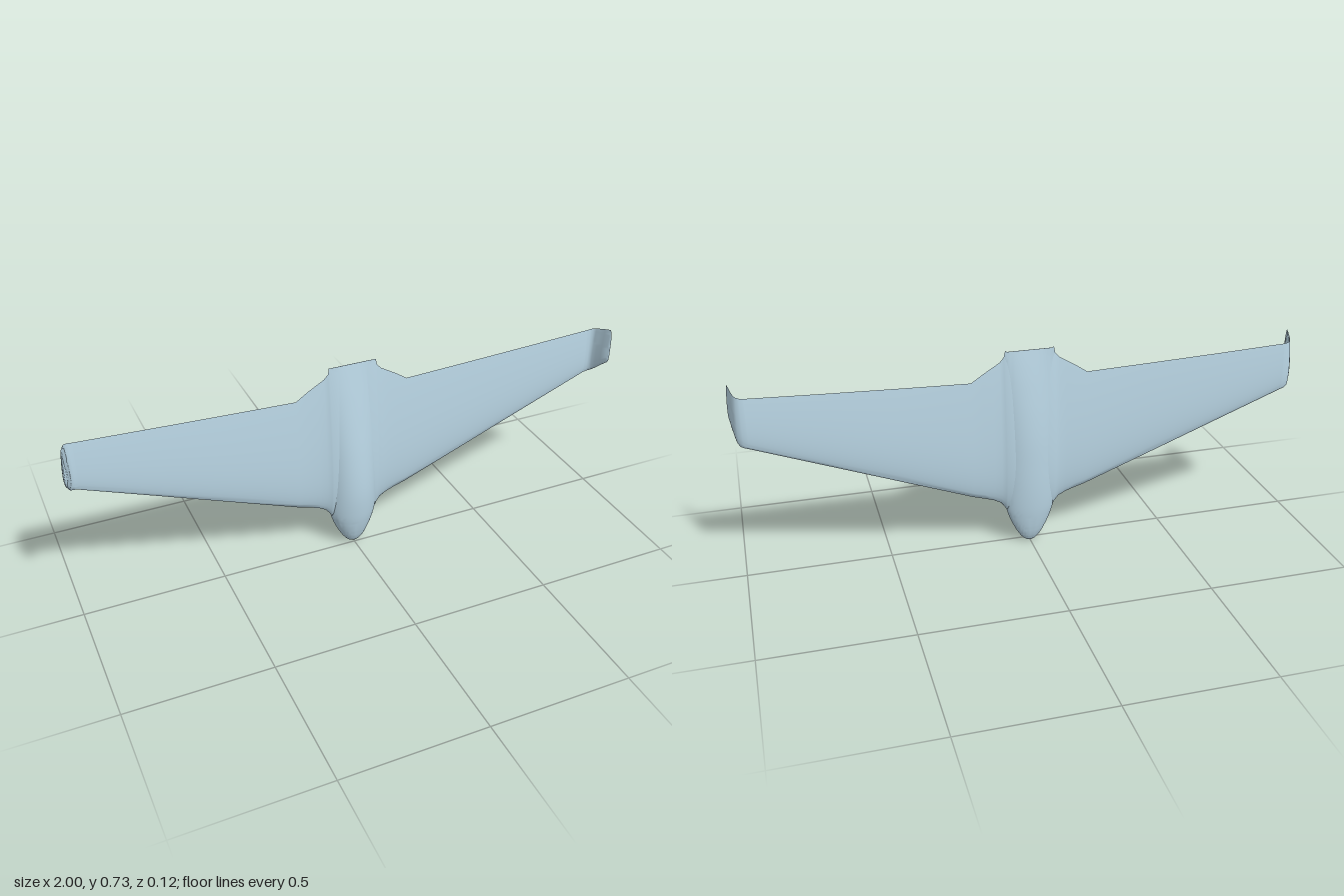
import * as THREE from 'three';
import { mergeVertices, toCreasedNormals } from 'three/addons/utils/BufferGeometryUtils.js';

const skin = new THREE.MeshStandardMaterial({ color: 0xb8d4e3 });

// Skin a series of closed rings, capping both ends
function loft(rings, flip = false) {
  const n = rings[0].length;
  const pos = [];
  const idx = [];
  rings.forEach((ring) => ring.forEach((p) => pos.push(p.x, p.y, p.z)));
  const tri = (a, b, c) => (flip ? idx.push(a, c, b) : idx.push(a, b, c));
  for (let i = 0; i < rings.length - 1; i++) {
    for (let j = 0; j < n; j++) {
      const k = (j + 1) % n;
      const a = i * n + j, b = i * n + k, c = a + n, d = b + n;
      tri(a, c, b);
      tri(b, c, d);
    }
  }
  const last = (rings.length - 1) * n;
  for (let j = 1; j < n - 1; j++) {
    tri(0, j, j + 1);
    tri(last, last + j + 1, last + j);
  }
  const geo = new THREE.BufferGeometry();
  geo.setAttribute('position', new THREE.Float32BufferAttribute(pos, 3));
  geo.setIndex(idx);
  return toCreasedNormals(mergeVertices(geo, 1e-5), 0.9);
}

// Fuselage stations: y, half width, front z, back z
const bodyStations = [
  [0, 0.001, -0.018, -0.02], [0.004, 0.016, -0.004, -0.027], [0.02, 0.033, 0.012, -0.036],
  [0.05, 0.052, 0.025, -0.045], [0.1, 0.075, 0.037, -0.053], [0.15, 0.088, 0.044, -0.058],
  [0.22, 0.091, 0.048, -0.061], [0.3, 0.091, 0.045, -0.061], [0.4, 0.09, 0.035, -0.058],
  [0.5, 0.089, 0.021, -0.05], [0.6, 0.088, 0.005, -0.038], [0.67, 0.087, -0.007, -0.028],
  [0.73, 0.086, -0.0175, -0.0185],
];

function fuselage() {
  const yCurve = new THREE.CatmullRomCurve3(bodyStations.map((s) => new THREE.Vector3(s[0], 0, 0)), false, 'catmullrom');
  const size = new THREE.CatmullRomCurve3(bodyStations.map((s) => new THREE.Vector3(s[1], s[2], s[3])), false, 'catmullrom');
  const rings = [];
  for (let i = 0; i <= 60; i++) {
    const y = Math.max(0, yCurve.getPoint(i / 60).x);
    const { x: w, y: front, z: back } = size.getPoint(i / 60);
    const mid = -0.018;
    const power = 1 + 0.3 * Math.min(1, y / 0.15);
    const ring = [];
    for (let j = 0; j < 48; j++) {
      const t = (j / 48) * Math.PI * 2;
      const s = Math.sin(t);
      const h = s > 0 ? front - mid : back - mid;
      ring.push(new THREE.Vector3(w * Math.cos(t), y, mid + h * Math.pow(Math.abs(s), power)));
    }
    rings.push(ring);
  }
  return loft(rings);
}

// Wing stations: x, z, leading y, trailing y, half thickness, bend angle
const wingStations = [
  [0.04, -0.015, 0.14, 0.7, 0.034, 0], [0.085, -0.015, 0.132, 0.733, 0.032, 0],
  [0.09, -0.015, 0.143, 0.71, 0.029, 0], [0.105, -0.016, 0.162, 0.693, 0.025, 0],
  [0.13, -0.017, 0.176, 0.678, 0.022, 0], [0.165, -0.018, 0.188, 0.657, 0.02, 0],
  [0.205, -0.018, 0.2, 0.63, 0.0185, 0], [0.45, -0.0195, 0.294, 0.639, 0.015, 0],
  [0.7, -0.021, 0.39, 0.649, 0.011, 0], [0.945, -0.022, 0.484, 0.66, 0.008, 0],
];
const wingletStations = [
  wingStations[wingStations.length - 1],
  [0.958, -0.021, 0.488, 0.662, 0.008, 0.25], [0.969, -0.016, 0.492, 0.665, 0.008, 0.75],
  [0.975, -0.007, 0.499, 0.668, 0.008, 1.2], [0.98, 0.008, 0.512, 0.672, 0.0075, 1.35],
  [0.986, 0.03, 0.533, 0.679, 0.007, 1.35], [0.992, 0.053, 0.553, 0.685, 0.006, 1.35],
  [0.9935, 0.059, 0.56, 0.675, 0.004, 1.35], [0.994, 0.062, 0.575, 0.645, 0.0005, 1.35],
];

// Aerofoil rings running from the leading edge over the front and back
function aerofoilLoft(stations, side) {
  const steps = 22;
  const rings = stations.map(([x, z, lead, trail, half, bend]) => {
    const ring = [];
    for (let j = 0; j < steps * 2; j++) {
      const s = (1 - Math.cos((j / steps) * Math.PI)) / 2;
      const t = 10 * half * (0.2969 * Math.sqrt(s) - 0.126 * s - 0.3516 * s ** 2 + 0.2843 * s ** 3 - 0.1036 * s ** 4);
      const h = j <= steps ? t : -t;
      ring.push(new THREE.Vector3(side * (x - Math.sin(bend) * h), lead + (trail - lead) * s, z + Math.cos(bend) * h));
    }
    return ring;
  });
  return loft(rings, side < 0);
}

export function createModel() {
  const model = new THREE.Group();
  model.name = 'flyingWing';
  const add = (name, geometry) => {
    const mesh = new THREE.Mesh(geometry, skin);
    mesh.name = name;
    model.add(mesh);
  };
  add('fuselage', fuselage());
  for (const [label, side] of [['left', 1], ['right', -1]]) {
    add(label + 'Wing', aerofoilLoft(wingStations, side));
    add(label + 'Winglet', aerofoilLoft(wingletStations, side));
  }
  return model;
}
